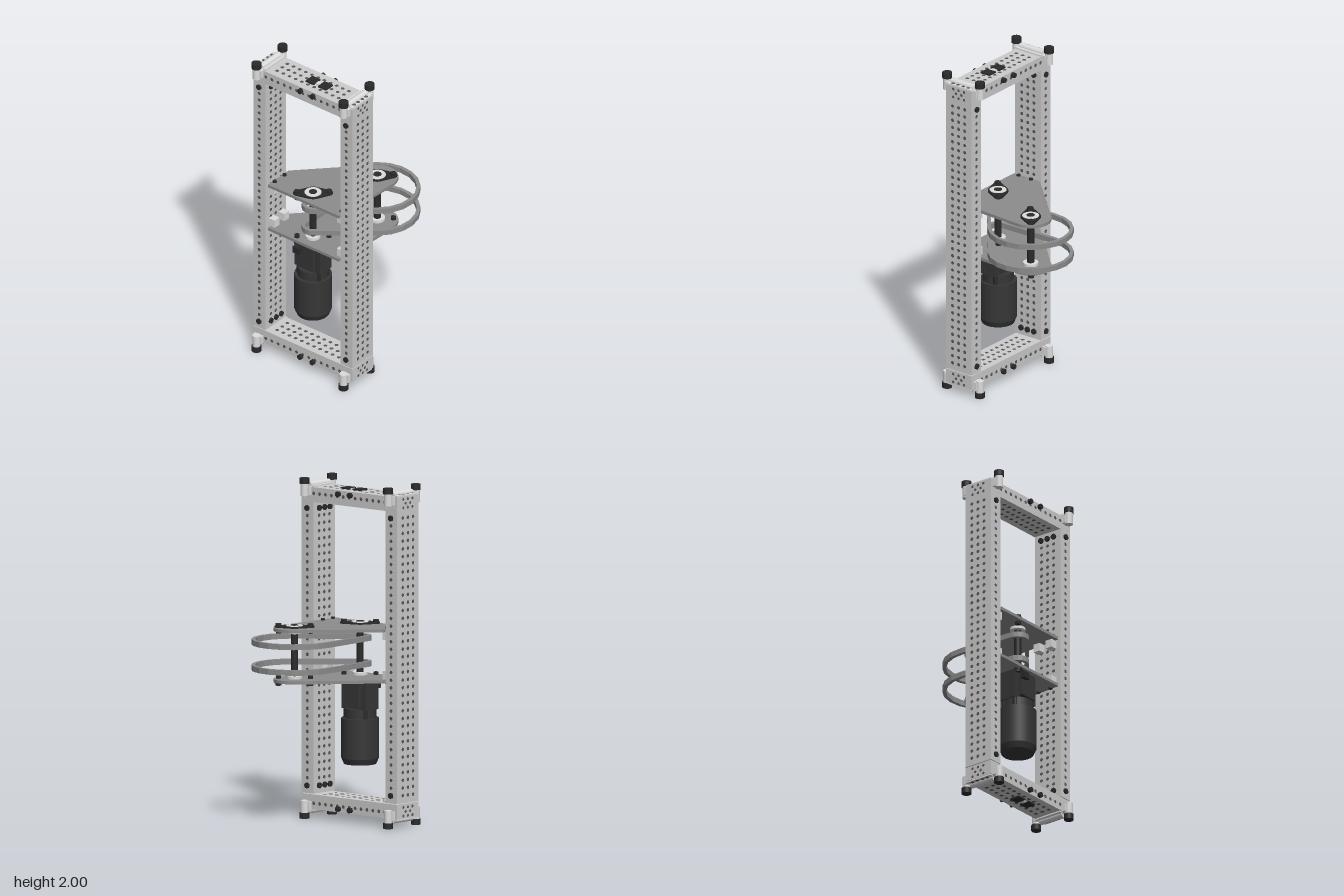
import * as THREE from 'three';
import { mergeGeometries } from 'three/addons/utils/BufferGeometryUtils.js';

const mat = (name, color) => Object.assign(new THREE.MeshStandardMaterial({ color }), { name });

function add(parent, name, geo, material, x = 0, y = 0, z = 0) {
  const m = new THREE.Mesh(geo, material);
  m.name = name;
  m.position.set(x, y, z);
  parent.add(m);
  return m;
}
const box = (w, h, d) => new THREE.BoxGeometry(w, h, d);
const cyl = (r, h, n = 20, r2 = r) => new THREE.CylinderGeometry(r, r2, h, n);

// Points around a circle [x, z, radius]
function circle([cx, cz, r], n = 24) {
  return Array.from({ length: n }, (_, i) => {
    const a = (i / n) * Math.PI * 2;
    return new THREE.Vector2(cx + r * Math.cos(a), cz + r * Math.sin(a));
  });
}

// Convex outline around a set of points
function hull(points) {
  const p = [...points].sort((a, b) => a.x - b.x || a.y - b.y);
  const half = (list) => {
    const h = [];
    for (const q of list) {
      while (h.length > 1) {
        const a = h[h.length - 2], b = h[h.length - 1];
        if ((b.x - a.x) * (q.y - a.y) - (b.y - a.y) * (q.x - a.x) > 1e-9) break;
        h.pop();
      }
      h.push(q);
    }
    return h.slice(0, -1);
  };
  return [...half(p), ...half(p.reverse())];
}

// Horizontal slab from an x/z outline, top face at y = 0
function slab(outline, thickness, hole) {
  const s = new THREE.Shape(outline);
  if (hole) s.holes.push(new THREE.Path(hole));
  return new THREE.ExtrudeGeometry(s, { depth: thickness, bevelEnabled: false }).rotateX(Math.PI / 2);
}

export function createModel() {
  const metal = mat('light metal', 0xcccccc);
  const bracket = mat('pale bracket', 0xdcdcdc);
  const plateMat = mat('grey plate', 0x8c8c8c);
  const hole = mat('hole grey', 0x5a5a5a);
  const black = mat('black', 0x2a2a2a);
  const motorMat = mat('motor charcoal', 0x363636);

  const model = new THREE.Group();
  model.name = 'beltDriveFrame';
  const frame = new THREE.Group();
  frame.name = 'frame';
  frame.position.set(-0.139, 0, 0.049);
  frame.rotation.y = -0.6955;
  model.add(frame);

  const discs = [];
  // Hole disc facing along an axis
  function disc(axis, sign, x, y, z, r = 0.011) {
    const g = new THREE.CircleGeometry(r, 8);
    if (axis === 'x') g.rotateY(sign * Math.PI / 2);
    if (axis === 'y') g.rotateX(-sign * Math.PI / 2);
    if (axis === 'z' && sign < 0) g.rotateY(Math.PI);
    discs.push(g.translate(x, y, z));
  }
  // Bolt head along an axis
  function bolt(axis, x, y, z, r = 0.017, h = 0.016, material = black) {
    const g = cyl(r, h, 12);
    if (axis === 'x') g.rotateZ(Math.PI / 2);
    if (axis === 'z') g.rotateX(Math.PI / 2);
    add(frame, 'bolt', g, material, x, y, z);
  }

  // Upright columns with hole rows and end bolts
  const pitch = 0.0453;
  for (const s of [-1, 1]) {
    add(frame, 'column', box(0.09, 1.715, 0.19), metal, s * 0.325, 1.0025, 0);
    for (let i = 0; i < 37; i++) {
      const y = 0.19 + i * pitch;
      for (const f of [-1, 1]) disc('z', f, s * 0.325, y, f * 0.0962);
      for (const z of [-0.045, 0, 0.045]) {
        disc('x', s, s * 0.3712, y, z);
        disc('x', -s, s * 0.2788, y, z);
      }
    }
    for (const y of [0.19, 1.82]) {
      for (const f of [-1, 1]) bolt('z', s * 0.325, y, f * 0.097);
      for (const z of [-0.047, 0, 0.047]) bolt('x', s * 0.277, y, z);
    }
  }

  // Top and bottom crossbars, with brackets and feet at each end
  for (const end of [-1, 1]) {
    const Y = (d) => 1.0 + end * d;
    add(frame, 'crossbar', box(0.74, 0.087, 0.19), metal, 0, Y(0.9025), 0);
    for (let i = -5; i <= 5; i++) for (const z of [-0.047, 0, 0.047]) {
      disc('y', end, i * 0.046, Y(0.9472), z, 0.012);
      disc('y', -end, i * 0.046, Y(0.8578), z, 0.012);
    }
    for (let i = -6; i <= 6; i++) for (const f of [-1, 1]) disc('z', f, i * 0.046, Y(0.91), f * 0.0962);

    // Pads and side bolts at the middle of the bar
    for (const x of [0, 0.092]) add(frame, 'pad', box(0.06, 0.009, 0.065), black, x, Y(0.9505), 0);
    add(frame, 'padSpacer', box(0.032, 0.006, 0.03), bracket, 0.046, Y(0.949), 0);
    for (const f of [-1, 1]) {
      bolt('z', -0.012, Y(0.925), f * 0.102, 0.016, 0.025);
      bolt('z', 0.08, Y(0.925), f * 0.102, 0.016, 0.025);
    }

    for (const s of [-1, 1]) {
      for (const [y, z] of [[0.93, -0.04], [0.93, 0], [0.93, 0.04], [0.905, -0.02], [0.905, 0.02],
        [0.88, -0.04], [0.88, 0], [0.88, 0.04]]) disc('x', s, s * 0.3712, Y(y), z, 0.009);
      add(frame, 'endPlate', box(0.085, 0.009, 0.18), bracket, s * 0.325, Y(0.95), 0);
      for (const z of [-0.055, -0.02, 0.02, 0.055]) disc('y', end, s * 0.352, Y(0.956), z, 0.012);
      add(frame, 'footRod', cyl(0.02, 0.17, 16).rotateX(Math.PI / 2), bracket, s * 0.322, Y(0.955), 0);
      for (const f of [-1, 1]) {
        const x = s * 0.325, z = f * 0.121;
        add(frame, 'footCollar', cyl(0.024, 0.075, 16), bracket, x, Y(0.932), z);
        add(frame, 'footArm', box(0.06, 0.05, 0.035), bracket, x, Y(0.925), f * 0.1);
        add(frame, 'footCap', cyl(0.029, 0.034, 20), black, x, Y(0.983), z);
      }
    }
  }
  add(frame, 'holes', mergeGeometries(discs), hole);

  // Bearing plates joined to the columns by small clamps
  const outline = hull([...circle([0.176, -0.381, 0.12], 32),
    ...[[-0.265, 0.09], [0.265, 0.09], [-0.265, -0.1], [0.265, -0.1]].map(([x, z]) => new THREE.Vector2(x, z))]);
  for (const d of [-1, 1]) {
    add(frame, 'bearingPlate', slab(outline, 0.018), plateMat, 0, 1.0125 + d * 0.15, 0);
    for (const s of [-1, 1]) for (const z of [-0.045, 0.045]) {
      add(frame, 'plateClamp', box(0.045, 0.05, 0.045), bracket, s * 0.255, 1.0035 + d * 0.116, z);
      bolt('y', s * 0.25, 1.0035 + d * 0.163, z, 0.012, 0.012);
    }
  }

  // Shafts with flanged bearings above and below
  const drive = [-0.139, 0.049], driven = [0.238, -0.13];
  const flange = hull([...circle([0, 0, 0.06]), ...circle([-0.093, 0, 0.023], 12), ...circle([0.093, 0, 0.023], 12)]);
  for (const [x, z] of [drive, driven]) {
    add(model, 'shaft', cyl(0.021, 0.342), black, x, 1.0035, z);
    for (const d of [-1, 1]) {
      add(model, 'bearingFlange', slab(flange, 0.01), black, x, 1.0085 + d * 0.164, z);
      add(model, 'bearingRing', cyl(0.05, 0.006, 28), bracket, x, 1.0035 + d * 0.169, z);
      add(model, 'bearingCore', cyl(0.024, 0.008, 16), black, x, 1.0035 + d * 0.171, z);
      add(model, 'bearingHub', cyl(0.045, 0.016, 24), bracket, x, 1.0035 + d * 0.133, z);
      for (const s of [-1, 1]) {
        add(model, 'bearingBolt', cyl(0.018, 0.016, 12), black, x + s * 0.093, 1.0035 + d * 0.174, z);
        add(model, 'bearingNut', cyl(0.017, 0.018, 6), black, x + s * 0.093, 1.0035 + d * 0.133, z);
      }
    }
  }

  // Two belts running around both shafts
  const loop = (t) => hull([...circle([...driven, 0.251 - t], 20), ...circle([...drive, 0.066 - t], 16)]);
  for (const y of [0.945, 1.096]) add(model, 'belt', slab(loop(0), 0.032, loop(0.022)), plateMat, 0, y, 0);

  // Motor and gearbox hanging below the lower plate
  add(frame, 'gearbox', box(0.19, 0.175, 0.11), motorMat, 0, 0.75, 0);
  add(frame, 'gearboxFront', box(0.12, 0.15, 0.16), motorMat, 0, 0.755, 0);
  add(frame, 'gearboxNeck', cyl(0.09, 0.06, 24), motorMat, 0, 0.635, 0);
  add(frame, 'motorBody', cyl(0.11, 0.235, 32), motorMat, 0, 0.4925, 0);
  add(frame, 'motorBottom', cyl(0.11, 0.035, 32, 0.095), motorMat, 0, 0.3575, 0);
  add(frame, 'motorConnector', box(0.05, 0.04, 0.03), black, -0.045, 0.8, 0.09);
  for (const x of [-0.075, 0.075]) for (const z of [-0.04, 0.04]) {
    add(frame, 'gearboxPost', cyl(0.014, 0.07, 10), black, x, 0.63, z);
  }
  return model;
}
